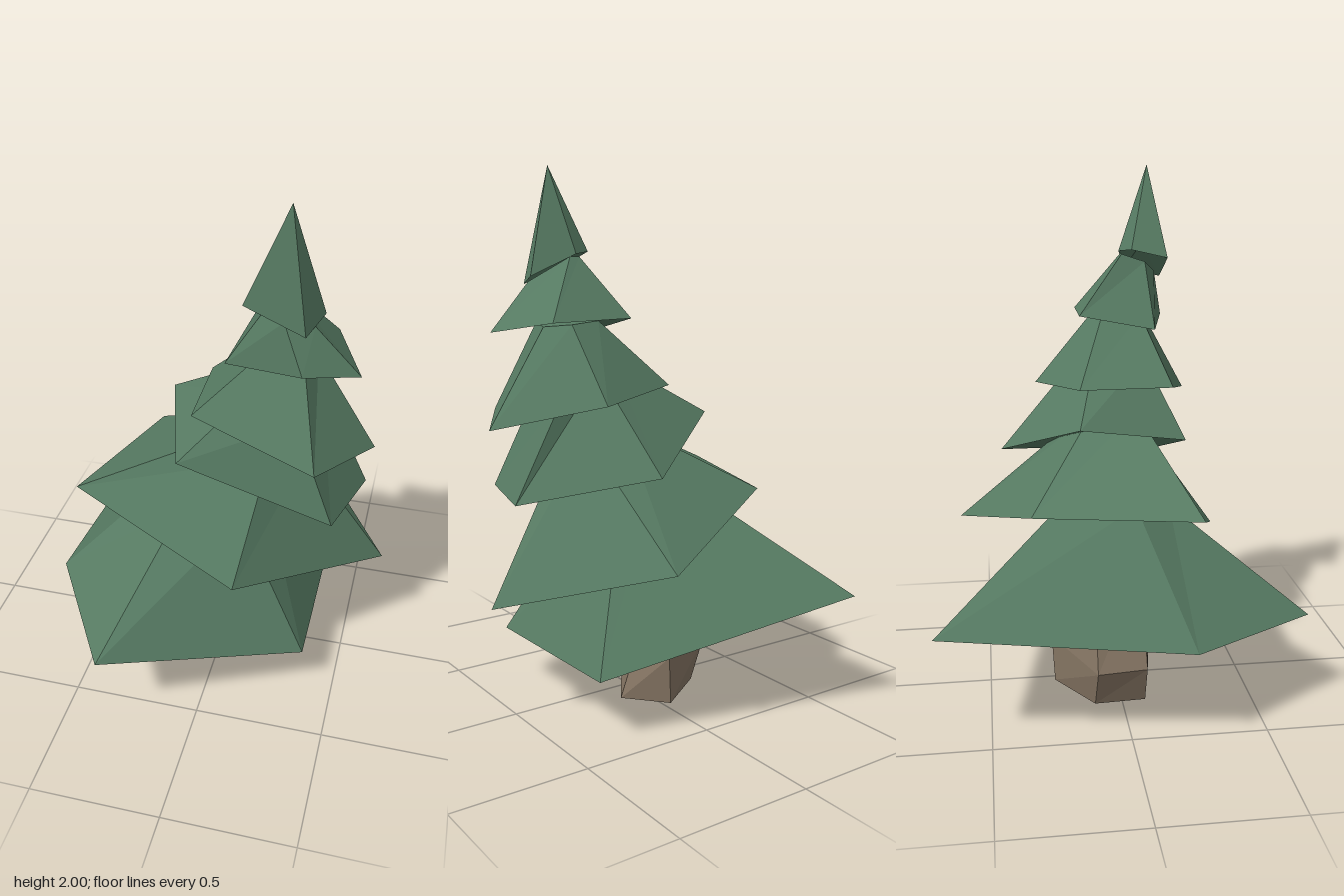
import * as THREE from 'three';

const green = new THREE.MeshStandardMaterial({ color: 0x567a62, flatShading: true });
const brown = new THREE.MeshStandardMaterial({ color: 0x857563, flatShading: true, side: THREE.DoubleSide });

// Faceted skin over rings of [x, y, z], listed from bottom to top.
// Each ring runs back, right side, front, left side. Capped solids get a hollow underside.
function loft(rings, capped) {
  const pos = [];
  const tri = (a, b, c) => pos.push(...a, ...b, ...c);
  const centre = (r) => [0, 1, 2].map((k) => r.reduce((s, p) => s + p[k], 0) / r.length);
  const low = rings[0], high = rings[rings.length - 1];
  const highMid = centre(high);
  const lowMid = centre(low).map((v, k) => v + (highMid[k] - v) * 0.18);
  for (let i = 0; i < low.length; i++) {
    const j = (i + 1) % low.length;
    for (let r = 0; r + 1 < rings.length; r++) {
      const a = rings[r], b = rings[r + 1];
      tri(a[i], a[j], b[j]);
      tri(a[i], b[j], b[i]);
    }
    if (capped) {
      tri(low[j], low[i], lowMid);
      tri(high[i], high[j], highMid);
    }
  }
  const g = new THREE.BufferGeometry();
  g.setAttribute('position', new THREE.Float32BufferAttribute(pos, 3));
  g.computeVertexNormals();
  return g;
}

// Branch tiers: wide tilted rim below, narrow ring above
const tiers = [
  { rim: [[-.53, .45, -.69], [-.63, .39, .21], [-.33, .37, .69], [.38, .22, .3], [.38, .23, -.39]],
    top: [[-.08, .89, -.09], [-.23, .79, .05], [-.13, .76, .19], [.09, .72, .15], [.12, .73, -.12]] },
  { rim: [[.21, .63, -.6], [-.36, .81, -.34], [-.53, .83, .245], [.12, .59, .41], [.63, .45, -.08]],
    top: [[.25, 1.03, -.1], [.08, 1.07, -.08], [.06, 1.08, .09], [.19, 1, .12], [.31, .95, 0]] },
  { rim: [[.15, .92, -.43], [-.25, 1.09, -.155], [-.13, 1.01, .25], [.45, .82, .235], [.535, .81, -.09]],
    top: [[.21, 1.26, -.13], [.11, 1.3, -.06], [.12, 1.28, .13], [.29, 1.2, .17], [.34, 1.2, -.11]] },
  { rim: [[.275, 1.16, -.285], [-.09, 1.2, -.14], [-.08, 1.2, .21], [.39, 1.1, .335], [.565, 1.06, .04]],
    top: [[.28, 1.43, -.06], [.15, 1.44, -.03], [.16, 1.44, .12], [.31, 1.43, .15], [.34, 1.42, .04]] },
  { rim: [[.07, 1.45, -.125], [.03, 1.4, .157], [.315, 1.42, .225], [.505, 1.4, .135], [.39, 1.44, -.115]],
    top: [[.18, 1.67, .05], [.18, 1.64, .14], [.24, 1.6, .185], [.34, 1.58, .15], [.22, 1.67, .05]] },
];

// Crown: five-sided tip
const apex = [.25, 2, .155];
const crownRim = [[.2, 1.68, .04], [.125, 1.69, .08], [.105, 1.66, .215], [.32, 1.57, .22], [.365, 1.6, .085]];

// Trunk: bent five-sided stump, open at both ends
const trunkRings = [
  [[-.03, 0, -.245], [-.235, 0, -.105], [-.225, 0, .09], [-.05, 0, .12], [.1, 0, -.1]],
  [[-.015, .185, -.255], [-.3, .155, -.1], [-.28, .155, .09], [-.1, .15, .12], [.045, .18, -.115]],
  [[-.06, .5, -.12], [-.19, .5, -.1], [-.15, .5, .08], [-.12, .5, .1], [-.03, .5, -.05]],
];

export function createModel() {
  const tree = new THREE.Group();
  tree.name = 'tree';
  const add = (name, geometry, material) => {
    const mesh = new THREE.Mesh(geometry, material);
    mesh.name = name;
    tree.add(mesh);
  };
  add('trunk', loft(trunkRings, false), brown);
  tiers.forEach((t, i) => add(`branchTier${i + 1}`, loft([t.rim, t.top], true), green));
  add('crown', loft([crownRim, crownRim.map(() => apex)], true), green);
  return tree;
}
